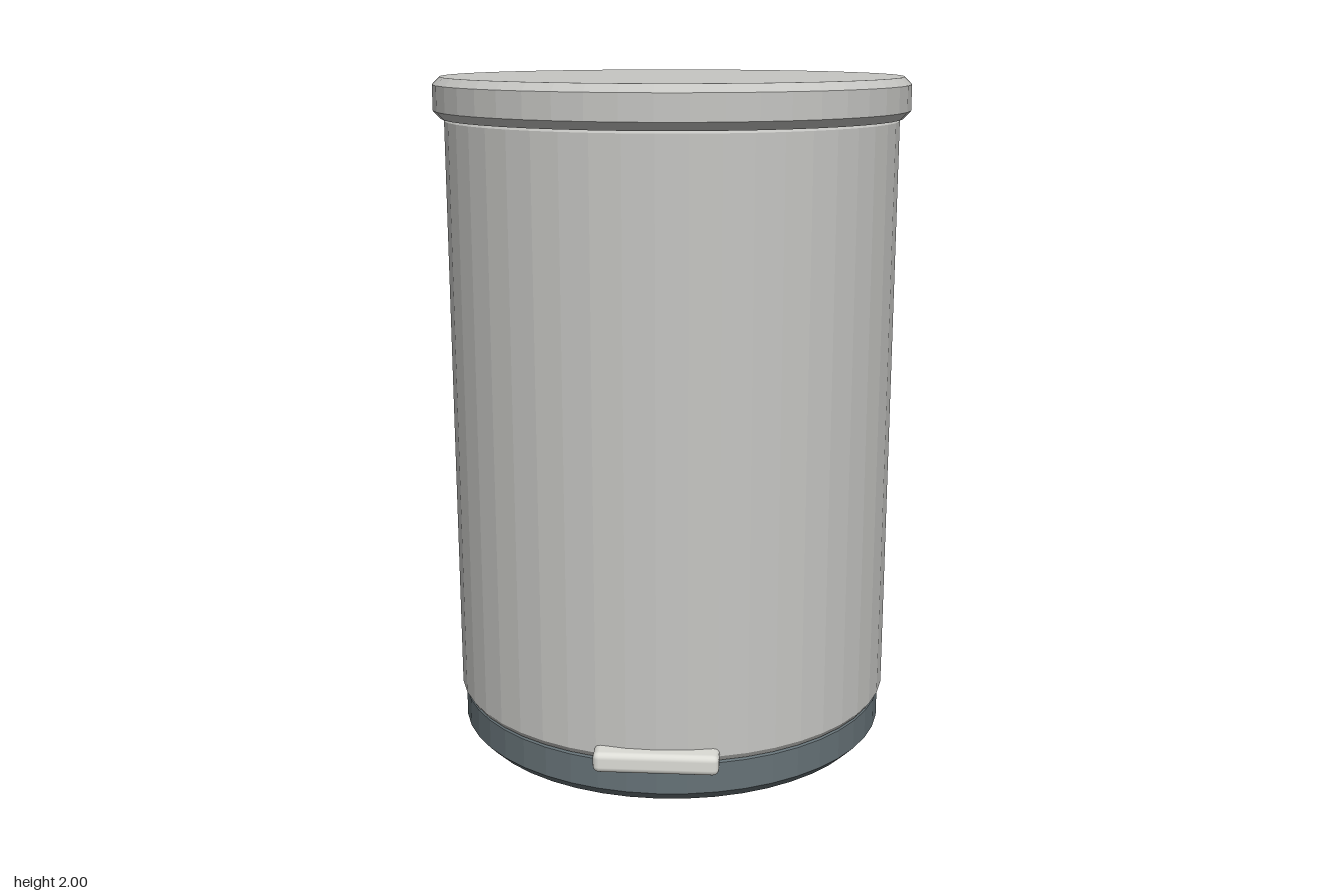
import * as THREE from 'three';
import { RoundedBoxGeometry } from 'three/addons/geometries/RoundedBoxGeometry.js';

const SIDES = 48;

function material(name, color) {
  const m = new THREE.MeshStandardMaterial({ color });
  m.name = name;
  return m;
}

export function createModel() {
  const group = new THREE.Group();
  group.name = 'pedalBin';

  const steel = material('brushed steel', 0xc6c6c3);
  const plastic = material('slate plastic', 0x667277);
  const pale = material('pale pedal metal', 0xdcdcd6);

  // Faceted round part, slightly flattened front to back; profile runs bottom to top
  function roundPart(name, profile, mat) {
    const points = profile.map(([r, y]) => new THREE.Vector2(r, y));
    const geometry = new THREE.LatheGeometry(points, SIDES).toNonIndexed();
    geometry.scale(1, 1, 0.983);
    geometry.translate(0, 0, 0.004);
    geometry.computeVertexNormals();
    const mesh = new THREE.Mesh(geometry, mat);
    mesh.name = name;
    group.add(mesh);
  }

  // Softly rounded block
  function block(name, size, position, radius, mat) {
    const mesh = new THREE.Mesh(new RoundedBoxGeometry(...size, 2, radius), mat);
    mesh.name = name;
    mesh.position.set(...position);
    group.add(mesh);
  }

  // Base ring with chamfered foot
  roundPart('base', [[0, 0], [0.627, 0], [0.656, 0.03], [0.656, 0.12], [0.645, 0.135], [0, 0.135]], plastic);

  // Can body
  roundPart('body', [[0, 0.128], [0.656, 0.128], [0.667, 0.145], [0.667, 1.875], [0.657, 1.89], [0, 1.89]], steel);

  // Lid with chamfered rim
  roundPart('lid', [[0, 1.882], [0.677, 1.882], [0.698, 1.905], [0.698, 1.978], [0.676, 2], [0, 2]], steel);

  // Foot pedal at the front, hinge cover at the back
  block('pedal', [0.355, 0.06, 0.08], [0, 0.14, 0.656], 0.018, pale);
  block('hingeCover', [0.27, 0.2, 0.07], [0, 1.86, -0.663], 0.025, plastic);

  return group;
}
